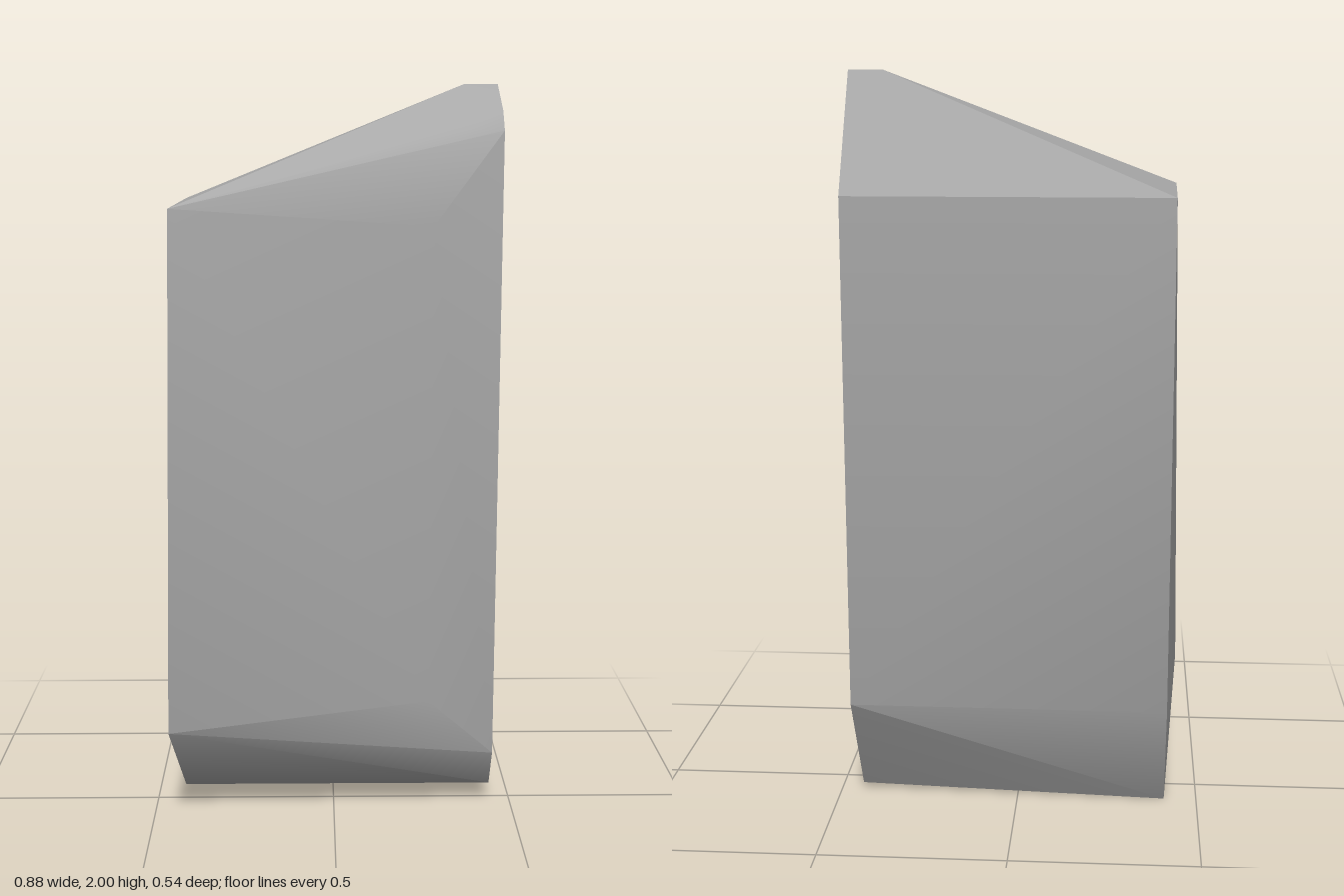
import * as THREE from 'three';
import { ConvexGeometry } from 'three/addons/geometries/ConvexGeometry.js';
import { toCreasedNormals } from 'three/addons/utils/BufferGeometryUtils.js';

export function createModel() {
  const model = new THREE.Group();
  model.name = 'stoneSlab';

  const stone = new THREE.MeshStandardMaterial({ color: 0xa8a8a8 });
  stone.name = 'stoneGrey';

  // Left end outline (+x) as [z, y]
  const leftEnd = [
    [-0.08, 2], [0.065, 1.93], [0.11, 1.88], [0.11, 0.18],
    [0.035, 0.06], [-0.08, 0.02], [-0.268, 0.33], [-0.268, 1.69],
  ].map(([z, y]) => [0.44, y, z]);

  // Right end (-x), leaning slightly outwards at the front foot
  const rightEnd = [
    [-0.41, 1.69, -0.268], [-0.42, 1.69, 0.268], [-0.445, 0.3, 0.265],
    [-0.418, 0.06, 0.035], [-0.41, 0.005, -0.1], [-0.41, 0.33, -0.268],
  ];

  // Short top ridge and the chipped front corner
  const chips = [
    [0.35, 2, -0.08], [0.35, 1.885, 0.11],
    [0.255, 1.64, 0.188], [0.255, 0.36, 0.188],
  ];

  const corners = [...leftEnd, ...rightEnd, ...chips].map((p) => new THREE.Vector3(...p));
  const geometry = toCreasedNormals(new ConvexGeometry(corners), THREE.MathUtils.degToRad(30));

  const slab = new THREE.Mesh(geometry, stone);
  slab.name = 'slab';
  model.add(slab);
  return model;
}
